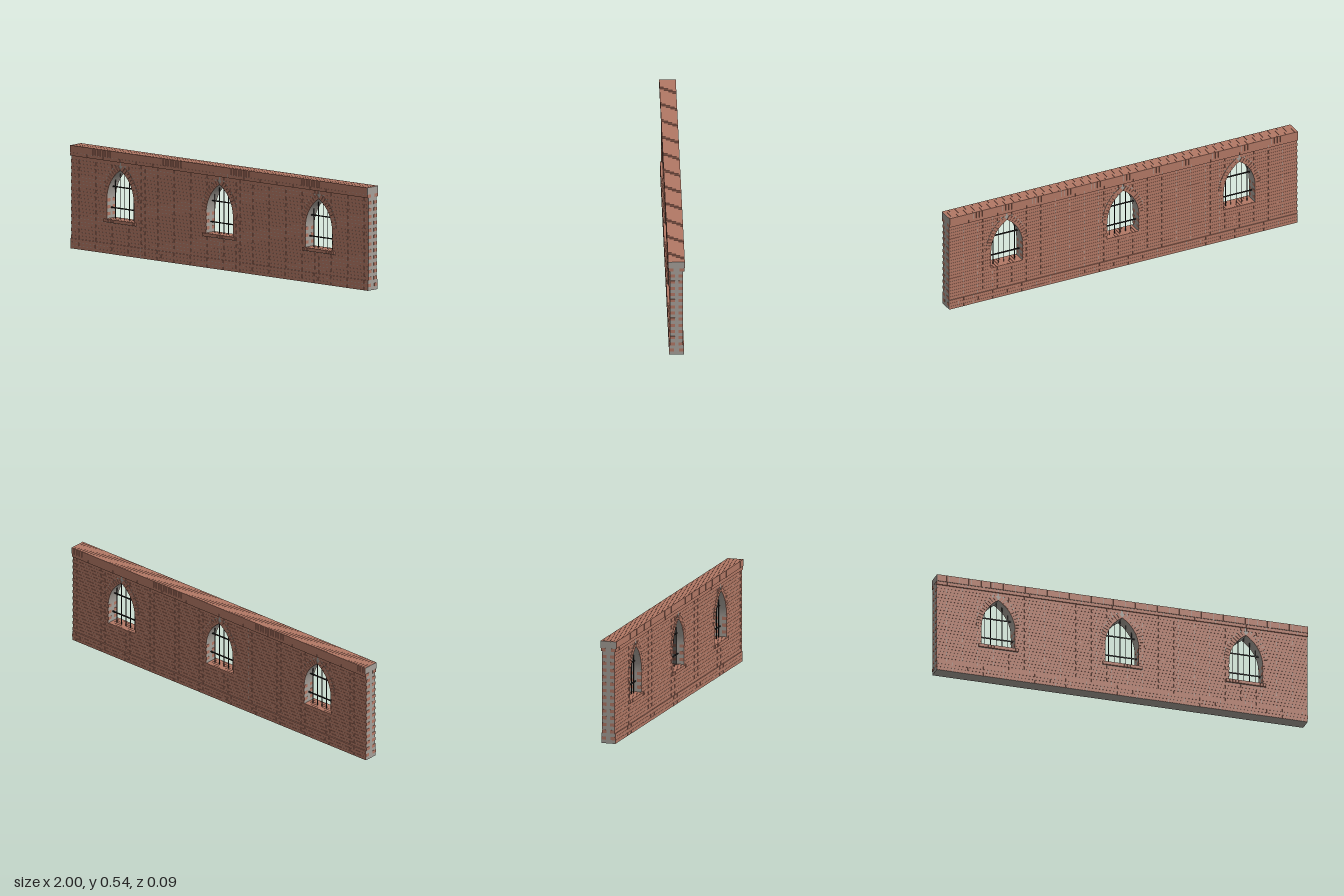
import * as THREE from 'three';
import { mergeGeometries } from 'three/addons/utils/BufferGeometryUtils.js';

const mat = (name, color) => Object.assign(new THREE.MeshStandardMaterial({ color }), { name });

const COURSE = 0.0178, ROWS = 28, PITCH = 2 / 36, JOINT = 0.0011;
const WINDOWS = [-0.667, 0, 0.667];
const HALF = 0.09, SILL = 0.178, SILL_ROW = 9, SPRING = 0.28, RADIUS = 0.187, RING = 0.03;
const ARC_X = HALF - RADIUS;
const APEX_ANGLE = Math.acos(-ARC_X / RADIUS);

// Box from its limits
function span(x0, x1, y0, y1, z0, z1) {
  return new THREE.BoxGeometry(x1 - x0, y1 - y0, z1 - z0)
    .translate((x0 + x1) / 2, (y0 + y1) / 2, (z0 + z1) / 2);
}

// Pointed window outline
function archPath(cx) {
  const p = new THREE.Path();
  p.moveTo(cx - HALF, SILL);
  p.lineTo(cx + HALF, SILL);
  p.lineTo(cx + HALF, SPRING);
  p.absarc(cx + ARC_X, SPRING, RADIUS, 0, APEX_ANGLE, false);
  p.absarc(cx - ARC_X, SPRING, RADIUS, Math.PI - APEX_ANGLE, Math.PI, false);
  p.closePath();
  return p;
}

// Half width left free of bricks around a window in one course
function clearance(row, front) {
  if (row === SILL_ROW && front) return 0.107;
  if (row <= SILL_ROW) return 0;
  const y = (row + 0.5) * COURSE;
  if (y < SPRING) return row % 2 ? HALF - 0.0005 : HALF + 0.001;
  const r = RADIUS + RING, dy = y - SPRING;
  return dy < r ? Math.max(0, ARC_X + Math.sqrt(r * r - dy * dy)) : 0;
}

// Pieces of a brick that remain beside the windows
function clipBrick(x0, x1, half) {
  let parts = [[x0, x1]];
  if (half > 0) {
    for (const c of WINDOWS) {
      parts = parts.flatMap(([a, b]) => [[a, Math.min(b, c - half)], [Math.max(a, c + half), b]]
        .filter(([p, q]) => q - p > 0.002));
    }
  }
  return parts;
}

function faceZ(row) {
  if (row < 3) return 0.038;
  return row === ROWS - 1 ? 0.04 : 0.034;
}

// Running-bond bricks on both faces; every other course reaches the wall ends
function wallBricks() {
  const list = [];
  for (let row = 0; row < ROWS; row++) {
    const end = row % 2 ? 1 : 0.998;
    const offset = row % 2 ? 0 : PITCH / 2;
    const z = faceZ(row), y0 = row * COURSE + JOINT / 2, y1 = (row + 1) * COURSE - JOINT / 2;
    for (let i = -1; i < 36; i++) {
      const a = Math.max(-end, -1 + i * PITCH + offset + (i > 0 ? JOINT / 2 : 0));
      const b = Math.min(end, -1 + (i + 1) * PITCH + offset - (i < 35 ? JOINT / 2 : 0));
      if (b - a < 0.002) continue;
      for (const [p, q] of clipBrick(a, b, clearance(row, true))) list.push(span(p, q, y0, y1, z - 0.025, z));
      for (const [p, q] of clipBrick(a, b, clearance(row, false))) list.push(span(p, q, y0, y1, -z, 0.025 - z));
    }
  }
  return mergeGeometries(list);
}

// Upright bricks along the coping
function copingBricks() {
  const list = [], n = 118, step = 1.998 / n;
  for (let i = 0; i < n; i++) {
    const x = -0.999 + i * step;
    list.push(span(x + 0.0005, x + step - 0.0005, 0.4992, 0.535, -0.0425, 0.0425));
  }
  return mergeGeometries(list);
}

// Ring of bricks over a window, on both faces
function archBricks() {
  const list = [], n = 12, r = RADIUS + RING / 2 - 0.0005;
  for (let i = 0; i < n; i++) {
    const a = (i + 0.5) / n * APEX_ANGLE;
    for (const side of [1, -1]) {
      for (const face of [1, -1]) {
        list.push(new THREE.BoxGeometry(RING - 0.001, 0.0158, 0.0255)
          .rotateZ(side * a)
          .translate(side * (ARC_X + r * Math.cos(a)), SPRING + r * Math.sin(a), face * 0.0228));
      }
    }
  }
  return mergeGeometries(list);
}

// Sill bricks running through the wall, projecting at the front only
function sillBricks() {
  const list = [], n = 13, step = 0.214 / n;
  for (let i = 0; i < n; i++) {
    const x = -0.107 + i * step;
    list.push(span(x + 0.0005, x + step - 0.0005, 0.163, 0.18, -0.0335, 0.043));
  }
  return mergeGeometries(list);
}

// Iron grille
function grille() {
  const list = [];
  for (let i = -2; i <= 2; i++) {
    const x = i * 0.031;
    const top = SPRING + Math.sqrt(RADIUS ** 2 - (Math.abs(x) - ARC_X) ** 2);
    list.push(new THREE.CylinderGeometry(0.002, 0.002, top - SILL + 0.006, 8)
      .translate(x, (top + SILL) / 2, 0));
  }
  for (const y of [0.235, 0.345]) list.push(span(-HALF, HALF, y - 0.0028, y + 0.0028, -0.0028, 0.0028));
  return mergeGeometries(list);
}

export function createModel() {
  const brick = mat('brick red', 0xb27865);
  const mortar = mat('mortar grey', 0xa59f98);
  const iron = mat('black iron', 0x262423);
  const group = new THREE.Group();
  group.name = 'brickWall';
  const add = (name, geometry, material, x = 0) => {
    const mesh = new THREE.Mesh(geometry, material);
    mesh.name = name;
    mesh.position.x = x;
    group.add(mesh);
  };

  // Mortar core with window openings
  const shape = new THREE.Shape([[-0.999, 0.04], [0.999, 0.04], [0.999, 0.49], [-0.999, 0.49]]
    .map(([x, y]) => new THREE.Vector2(x, y)));
  shape.holes = WINDOWS.map(archPath);
  const core = new THREE.ExtrudeGeometry(shape, { depth: 0.0656, bevelEnabled: false, curveSegments: 16 });
  add('wallCore', core.translate(0, 0, -0.0328), mortar);

  // Wider cores of the plinth, cornice and coping
  add('plinthCore', span(-0.999, 0.999, 0, 0.0525, -0.0368, 0.0368), mortar);
  add('corniceCore', span(-0.999, 0.999, 0.482, 0.499, -0.0388, 0.0388), mortar);
  add('copingCore', span(-1, 1, 0.4986, 0.534, -0.0413, 0.0413), mortar);

  add('wallBricks', wallBricks(), brick);
  add('copingBricks', copingBricks(), brick);

  // Windows
  const arch = archBricks(), sill = sillBricks(), bars = grille();
  for (const x of WINDOWS) {
    add('windowArch', arch, brick, x);
    add('windowSill', sill, brick, x);
    add('windowGrille', bars, iron, x);
  }
  return group;
}
